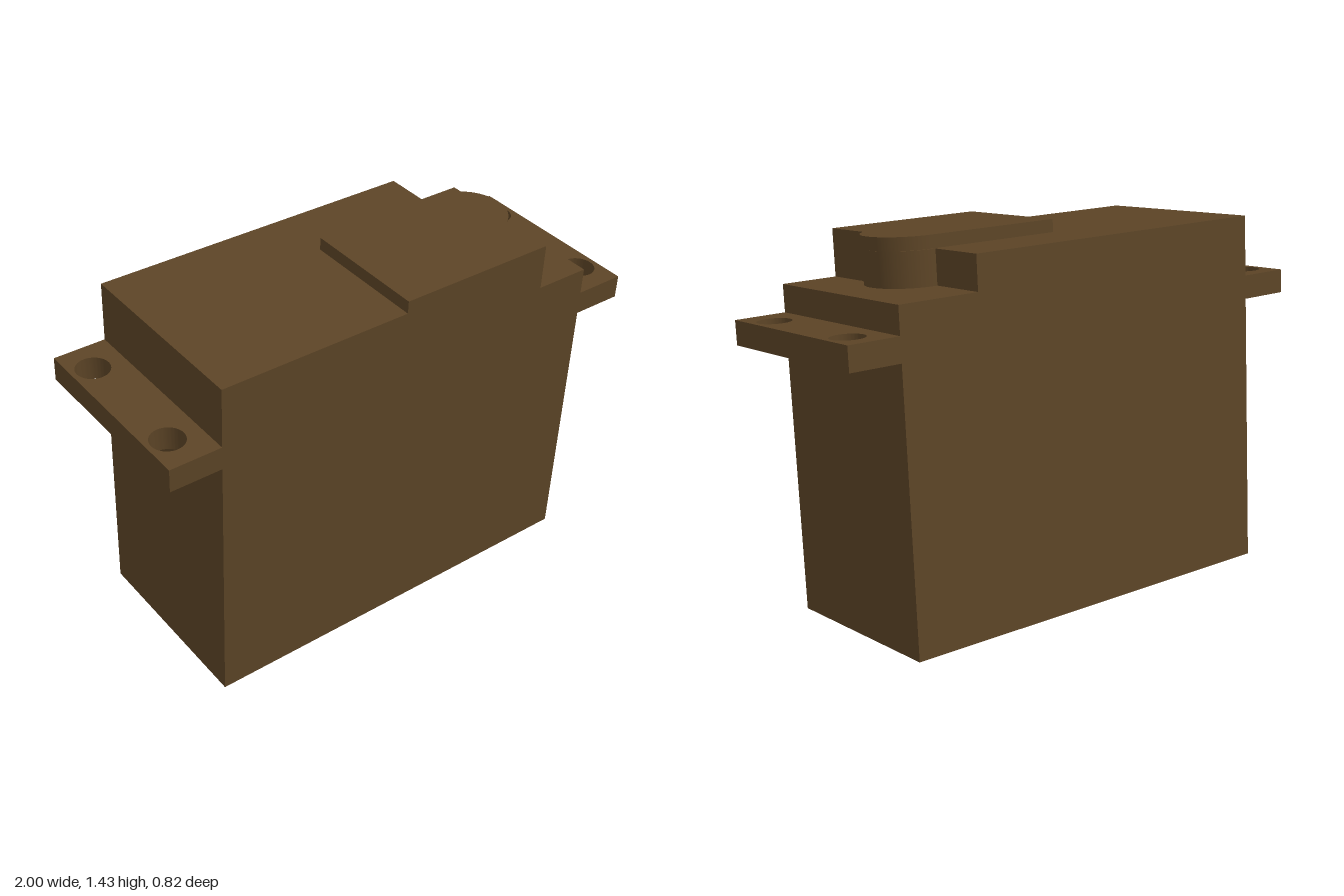
import * as THREE from 'three';
import { toCreasedNormals } from 'three/addons/utils/BufferGeometryUtils.js';

const DEPTH = 0.73;
const material = new THREE.MeshStandardMaterial({ color: 0x5c4426 });

function part(name, geometry) {
  const mesh = new THREE.Mesh(toCreasedNormals(geometry, 0.5), material);
  mesh.name = name;
  return mesh;
}

// Plan shape (x, distance back from the front face) raised from y0 to y1
function slab(shape, y0, y1) {
  return new THREE.ExtrudeGeometry(shape, { depth: y1 - y0, bevelEnabled: false, curveSegments: 32 })
    .rotateX(-Math.PI / 2)
    .translate(0, y0, 0);
}

// Straight-sided plan with a rounded boss at its right rear corner
function bossPlan(x0, centreBack) {
  const r = 0.155, cx = 0.495, edge = 0.58;
  const dy = Math.sqrt(r * r - (edge - cx) ** 2);
  const s = new THREE.Shape();
  s.moveTo(x0, 0);
  s.lineTo(edge, 0);
  s.lineTo(edge, centreBack - dy);
  s.absarc(cx, centreBack, r, Math.atan2(-dy, edge - cx), Math.PI / 2, false);
  s.lineTo(x0, centreBack + r);
  s.closePath();
  return s;
}

// Mounting ear with two screw holes
function earPlan(side) {
  const a = Math.min(side * 0.8, side), b = Math.max(side * 0.8, side);
  const s = new THREE.Shape();
  s.moveTo(a, 0);
  s.lineTo(b, 0);
  s.lineTo(b, DEPTH);
  s.lineTo(a, DEPTH);
  s.closePath();
  for (const back of [0.135, 0.605]) {
    const hole = new THREE.Path();
    hole.absarc(side * 0.92, back, 0.062, 0, Math.PI * 2, true);
    s.holes.push(hole);
  }
  return s;
}

export function createModel() {
  const model = new THREE.Group();
  model.name = 'servoMotor';

  // The whole housing leans slightly forward about its front lower edge
  const housing = new THREE.Group();
  housing.name = 'housing';
  housing.position.z = 0.32;
  housing.rotation.x = 0.0645;
  model.add(housing);

  // Main case with a stepped right shoulder
  const profile = new THREE.Shape([
    [-0.8, 0], [0.8, 0], [0.8, 1.222], [0.48, 1.222], [0.48, 1.35], [-0.8, 1.35],
  ].map(([x, y]) => new THREE.Vector2(x, y)));
  const caseGeometry = new THREE.ExtrudeGeometry(profile, { depth: DEPTH, bevelEnabled: false });
  housing.add(part('case', caseGeometry.translate(0, 0, -DEPTH)));

  // Gear boss on the shoulder, and the raised cover plate above it
  housing.add(part('gearBoss', slab(bossPlan(0.48, 0.343), 1.222, 1.35)));
  housing.add(part('gearCover', slab(bossPlan(-0.05, 0.335), 1.35, 1.398)));

  for (const side of [-1, 1]) {
    housing.add(part(side > 0 ? 'leftMountingEar' : 'rightMountingEar', slab(earPlan(side), 1.03, 1.12)));
  }
  return model;
}
